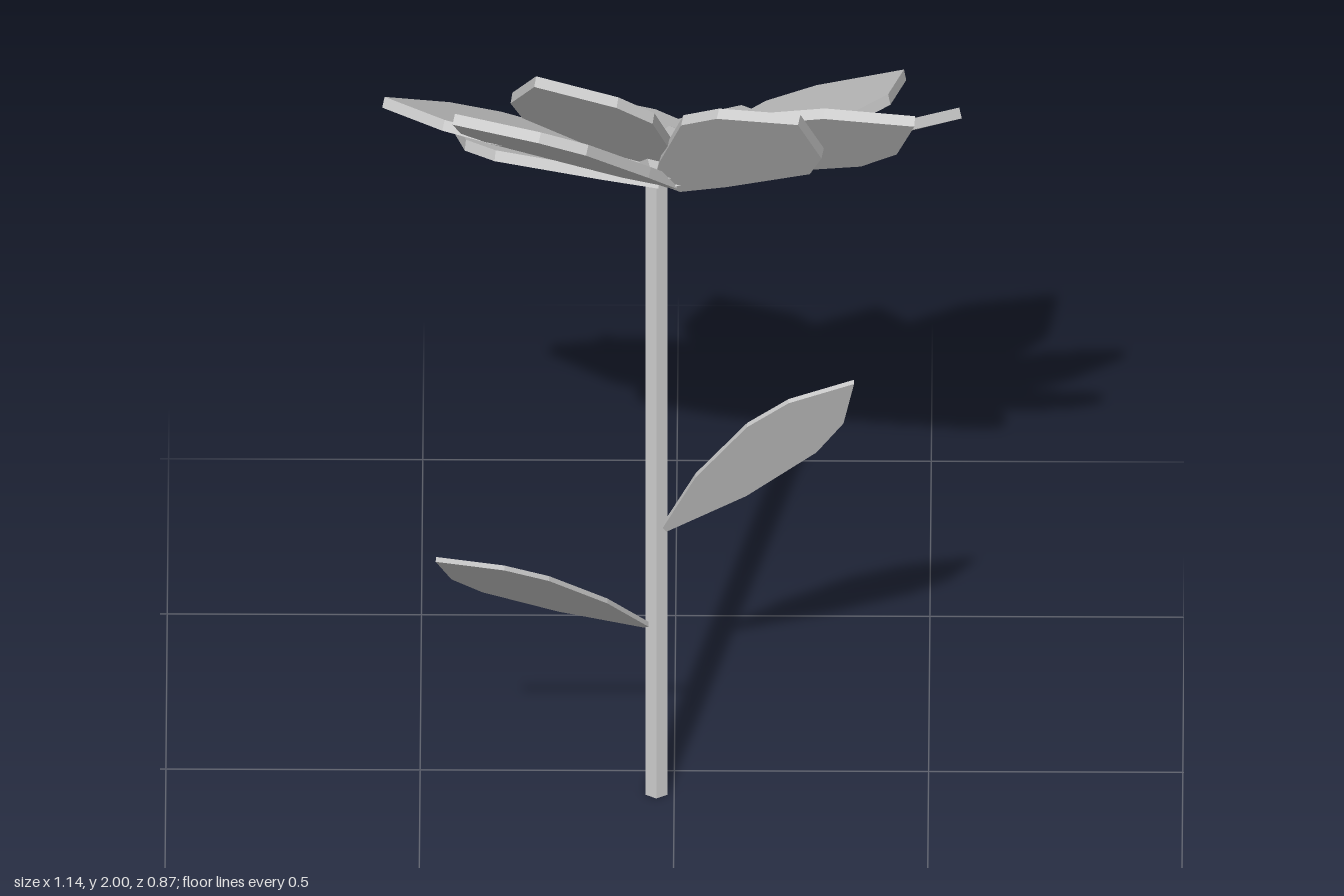
import * as THREE from 'three';

const material = new THREE.MeshStandardMaterial({ color: 0xcccccc, flatShading: true, side: THREE.DoubleSide });
const vec = (a) => new THREE.Vector3(...a);

// Flower centre and the axis the bloom faces (up and back)
const centre = vec([-0.01, 1.53, 0.08]);
const axis = vec([0, 0.776, -0.631]).normalize();

// Flat blade along +x: half-widths [distance, width], mirrored, with thickness
function bladeGeometry(profile, length, thickness) {
  const half = profile.map(([t, w]) => new THREE.Vector2(t * length, w));
  const points = [
    ...half.map((p) => new THREE.Vector2(p.x, -p.y)),
    new THREE.Vector2(length, 0),
    ...half.slice().reverse(),
  ];
  const geometry = new THREE.ExtrudeGeometry(new THREE.Shape(points), { depth: thickness, bevelEnabled: false });
  return geometry.translate(0, 0, -thickness);
}

// Places a blade from base to tip, its flat side turned towards "facing"
function addBlade(group, name, profile, base, tip, facing, thickness, roll = 0) {
  const x = tip.clone().sub(base);
  const geometry = bladeGeometry(profile, x.length(), thickness);
  x.normalize();
  const y = facing.clone().cross(x).normalize();
  const z = x.clone().cross(y);
  geometry.rotateX(-roll);
  geometry.applyMatrix4(new THREE.Matrix4().makeBasis(x, y, z).setPosition(base));
  const mesh = new THREE.Mesh(geometry, material);
  mesh.name = name;
  group.add(mesh);
}

export function createModel() {
  const model = new THREE.Group();
  model.name = 'flower';

  // Stem
  const stem = new THREE.Mesh(new THREE.CylinderGeometry(0.025, 0.025, 1.54, 6), material);
  stem.name = 'stem';
  stem.position.set(-0.035, 0.77, 0.065);
  model.add(stem);

  // Two rings of five petals: tip position and roll about the petal's length
  const petalProfile = [[0, 0.03], [0.2, 0.075], [0.6, 0.145], [0.78, 0.118]];
  const rings = {
    innerPetal: {
      lift: 0.035,
      tips: [
        [-0.27, 2.0, 0.36, 0.05], [0.475, 1.85, 0.29, 0.28], [0.45, 1.5, -0.315, -0.1],
        [-0.19, 1.345, -0.435, 0], [-0.57, 1.655, -0.02, 0.18],
      ],
    },
    outerPetal: {
      lift: 0.005,
      tips: [
        [0.25, 1.945, 0.41, 0.33], [0.56, 1.61, -0.05, 0], [0.13, 1.345, -0.4, 0],
        [-0.43, 1.42, -0.24, 0.1], [-0.43, 1.86, 0.3, 0.1],
      ],
    },
  };
  const petals = new THREE.Group();
  petals.name = 'petals';
  for (const [name, ring] of Object.entries(rings)) {
    const base = centre.clone().addScaledVector(axis, ring.lift);
    for (const [x, y, z, roll] of ring.tips) {
      addBlade(petals, name, petalProfile, base, vec([x, y, z]), axis, 0.022, roll);
    }
  }
  model.add(petals);

  // Five-sided flower head with a shallow pointed cap
  const head = new THREE.Mesh(
    new THREE.LatheGeometry(
      [[0, 0], [0.075, 0], [0.115, 0.07], [0, 0.105]].map(([r, h]) => new THREE.Vector2(r, h)),
      5,
    ),
    material,
  );
  head.name = 'flowerHead';
  head.position.copy(centre);
  head.quaternion.setFromUnitVectors(new THREE.Vector3(0, 1, 0), axis);
  head.rotateY(Math.PI + 0.18);
  model.add(head);

  // Leaves: the width direction fixes how each one is turned
  const leafProfile = [[0, 0.006], [0.3, 0.06], [0.62, 0.082], [0.8, 0.065]];
  const leaves = [
    ['leftLeaf', [-0.02, 0.66, 0.07], [0.355, 1.18, 0.27], [0.11, -0.11, -0.04]],
    ['rightLeaf', [-0.055, 0.43, 0.08], [-0.467, 0.86, 0.43], [0.13, 0.08, 0.065]],
  ];
  for (const [name, from, to, width] of leaves) {
    const base = vec(from);
    const tip = vec(to);
    const facing = tip.clone().sub(base).cross(vec(width)).normalize();
    addBlade(model, name, leafProfile, base, tip, facing, 0.01);
  }

  return model;
}
